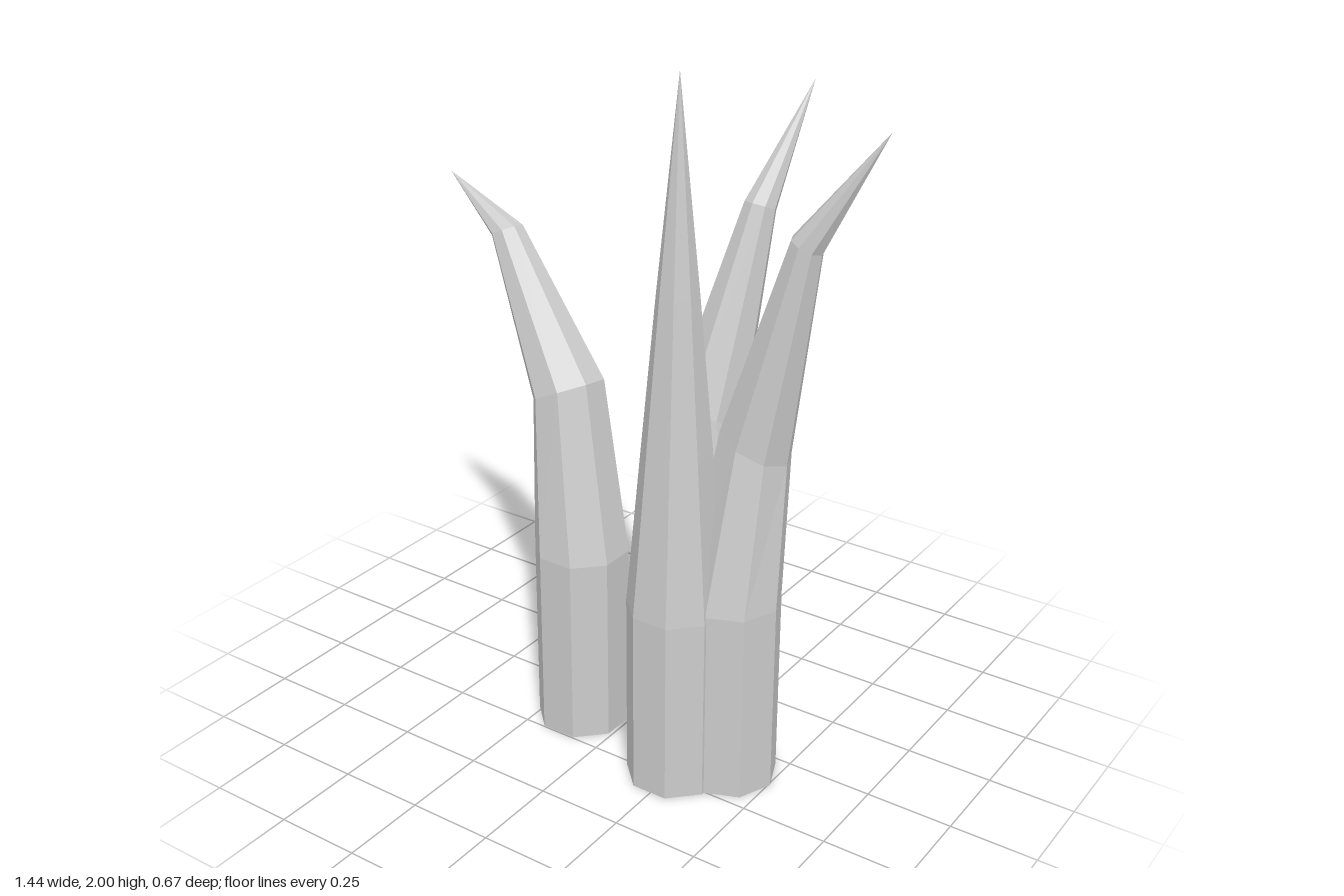
import * as THREE from 'three';

const SIDES = 8;
const material = new THREE.MeshStandardMaterial({ color: 0xcccccc, flatShading: true });

// Eight-sided spike: rings are [x, y, z, radius, tilt in degrees], closed by a pointed tip.
// Each tilted ring dips on the side towards which the spike leans.
function makeSpike(name, rings, tip, phase) {
  const lean = new THREE.Vector2(tip[0] - rings[0][0], tip[2] - rings[0][2]).normalize();
  const positions = [];
  const indices = [];
  for (const [x, y, z, radius, tilt] of rings) {
    const t = THREE.MathUtils.degToRad(tilt);
    for (let j = 0; j < SIDES; j++) {
      const a = ((j + phase) / SIDES) * Math.PI * 2;
      const ox = Math.cos(a) * radius;
      const oz = Math.sin(a) * radius;
      const along = ox * lean.x + oz * lean.y;
      const shrink = along * (Math.cos(t) - 1);
      positions.push(x + ox + lean.x * shrink, y - along * Math.sin(t), z + oz + lean.y * shrink);
    }
  }
  const tipIndex = rings.length * SIDES;
  const baseIndex = tipIndex + 1;
  positions.push(...tip, rings[0][0], rings[0][1], rings[0][2]);

  for (let j = 0; j < SIDES; j++) {
    const k = (j + 1) % SIDES;
    // Side walls
    for (let i = 0; i < rings.length - 1; i++) {
      const lo = i * SIDES;
      const hi = lo + SIDES;
      indices.push(lo + j, hi + j, lo + k, lo + k, hi + j, hi + k);
    }
    // Point and flat base
    const last = (rings.length - 1) * SIDES;
    indices.push(last + j, tipIndex, last + k);
    indices.push(baseIndex, j, k);
  }

  const indexed = new THREE.BufferGeometry();
  indexed.setAttribute('position', new THREE.Float32BufferAttribute(positions, 3));
  indexed.setIndex(indices);
  const geometry = indexed.toNonIndexed();
  geometry.computeVertexNormals();
  const mesh = new THREE.Mesh(geometry, material);
  mesh.name = name;
  return mesh;
}

export function createModel() {
  const group = new THREE.Group();
  group.name = 'spikeCluster';

  // Lone spike bending far to the side
  group.add(makeSpike('rightSpike', [
    [-0.137, 0, 0.12, 0.137, 0],
    [-0.137, 0.56, 0.12, 0.137, 0],
    [-0.2, 1.02, 0.085, 0.107, 26],
    [-0.467, 1.41, 0.003, 0.048, 28],
  ], [-0.72, 1.525, -0.06], 0.5));

  // Straight, tallest spike
  group.add(makeSpike('frontSpike', [
    [0.245, 0, 0.21, 0.137, 0],
    [0.245, 0.54, 0.21, 0.137, 0],
    [0.245, 1.0, 0.21, 0.096, 0],
    [0.245, 1.43, 0.21, 0.057, 0],
  ], [0.245, 2, 0.21], 0.5));

  // Spike curving backwards
  group.add(makeSpike('backSpike', [
    [0.252, 0, 0.046, 0.137, 0],
    [0.252, 0.56, 0.046, 0.137, 0],
    [0.2, 1.01, 0, 0.107, 26],
    [0.27, 1.577, -0.137, 0.045, 24],
  ], [0.31, 1.88, -0.335], 0));

  // Spike curving outwards
  group.add(makeSpike('leftSpike', [
    [0.368, 0, 0.118, 0.137, 0],
    [0.368, 0.56, 0.118, 0.137, 0],
    [0.395, 1.01, 0.062, 0.107, 26],
    [0.527, 1.575, 0.065, 0.046, 24],
  ], [0.72, 1.88, 0.025], 0));

  return group;
}
